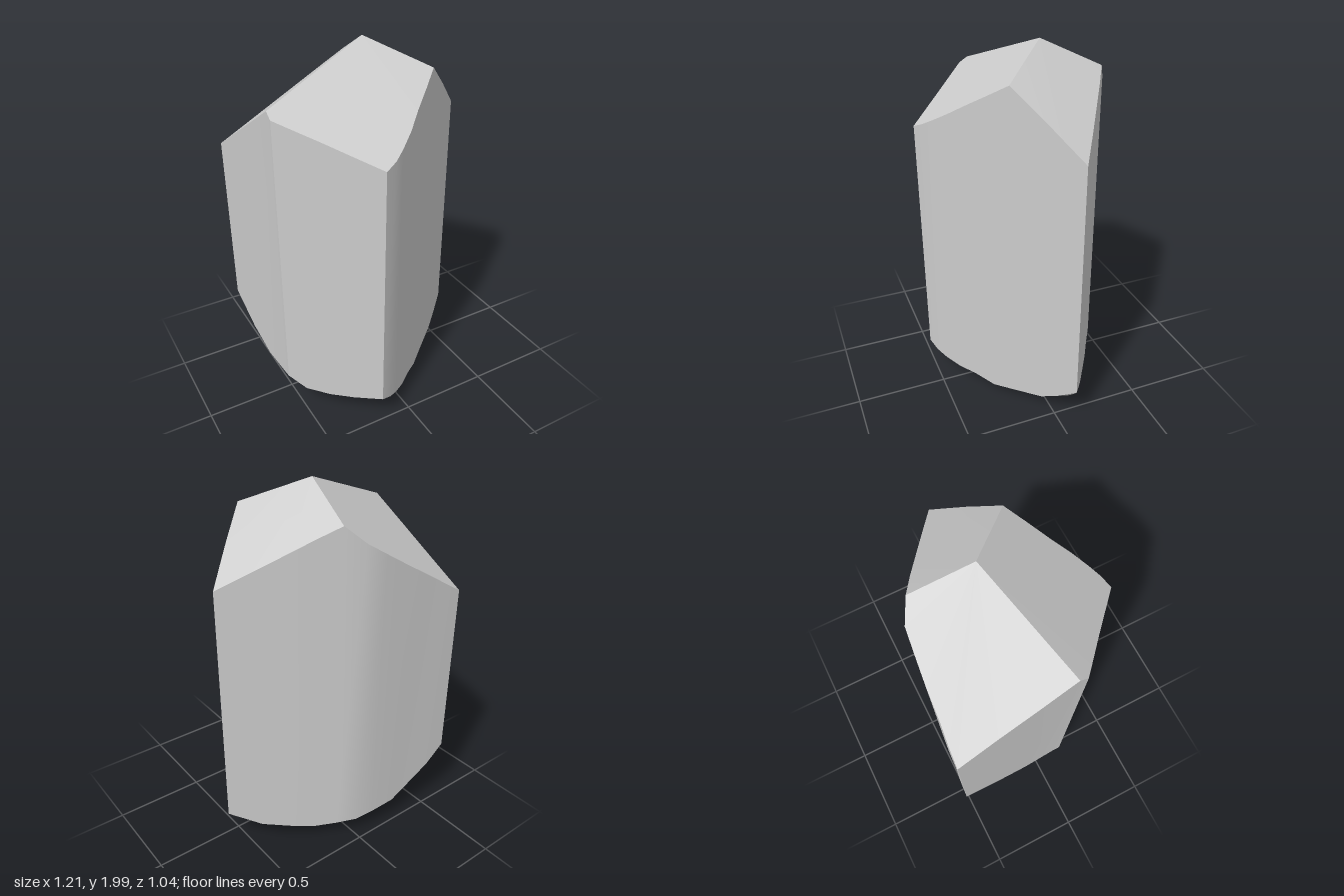
import * as THREE from 'three';
import { toCreasedNormals } from 'three/addons/utils/BufferGeometryUtils.js';

// Outline of the crystal: x, z, height of the lower rim
const OUTLINE = [
  [-0.605, -0.52, 0.41], [-0.5, -0.512, 0.31], [-0.4, -0.5, 0.24], [-0.25, -0.49, 0.15],
  [-0.12, -0.475, 0.13], [0, -0.46, 0.12], [0.095, -0.4, 0.1], [0.2, -0.338, 0.09],
  [0.3, -0.275, 0.1], [0.45, -0.18, 0.13], [0.605, -0.08, 0.22], [0.52, -0.01, 0.15],
  [0.44, 0.055, 0.1], [0.29, 0.175, 0.07], [0.2, 0.25, 0.055], [0.1, 0.33, 0.085],
  [0.02, 0.4, 0.1], [-0.06, 0.458, 0.125], [-0.12, 0.495, 0.15], [-0.185, 0.52, 0.18],
  [-0.3, 0.408, 0.155], [-0.4, 0.31, 0.145], [-0.5, 0.215, 0.16], [-0.573, 0.145, 0.23],
  [-0.572, 0.1, 0.22], [-0.583, -0.1, 0.22], [-0.592, -0.3, 0.28],
];
const N = OUTLINE.length;
const APEX = [0.032, 2, -0.085];

// Three facets meeting at the apex, as slopes along x and z
const FACETS = [[0.548, 0.589], [0.158, -0.677], [-0.78, 0.3]];
const topHeight = (x, z) =>
  Math.min(...FACETS.map(([a, b]) => 2 + a * (x - APEX[0]) + b * (z - APEX[2])));

const material = new THREE.MeshStandardMaterial({ color: 0xcccccc });

function makeMesh(name, triangles, crease) {
  const geometry = new THREE.BufferGeometry();
  geometry.setAttribute('position', new THREE.Float32BufferAttribute(triangles.flat(), 3));
  const mesh = new THREE.Mesh(toCreasedNormals(geometry, crease), material);
  mesh.name = name;
  return mesh;
}

// Point on the rounded underside; t is 1 at the rim and 0 at the middle
function basePoint(i, t) {
  const [ox, oz, rim] = OUTLINE[i % N];
  const bulge = Math.sin(t * Math.PI / 2) ** 0.8;
  const x = 0.05 + (ox - 0.05) * bulge;
  const z = 0.05 + (oz - 0.05) * bulge;
  const bump = 0.01 * Math.sin(11 * x + 2) * Math.sin(13 * z) * (1 - t ** 4);
  const floor = 0.012 * (1 - t ** 4);
  return [x, Math.max(0, floor + rim * bulge ** 3.2 + bump * Math.min(1, 3 * t)), z];
}

export function createModel() {
  const group = new THREE.Group();
  group.name = 'crystal';
  const shaft = [], tip = [], base = [];
  const rings = 8;

  for (let i = 0; i < N; i++) {
    const [x0, z0, y0] = OUTLINE[i];
    const [x1, z1, y1] = OUTLINE[(i + 1) % N];
    const low0 = [x0, y0, z0], low1 = [x1, y1, z1];
    const high0 = [x0, topHeight(x0, z0), z0], high1 = [x1, topHeight(x1, z1), z1];

    // Upright walls and pointed tip
    shaft.push(low1, low0, high0, low1, high0, high1);
    tip.push(APEX, high1, high0);

    // Rounded underside in shrinking rings
    for (let r = 0; r < rings; r++) {
      const outer = 1 - r / rings, inner = 1 - (r + 1) / rings;
      const a = basePoint(i, outer), b = basePoint(i + 1, outer);
      const c = basePoint(i + 1, inner), d = basePoint(i, inner);
      base.push(a, b, c);
      if (r < rings - 1) base.push(a, c, d);
    }
  }

  group.add(makeMesh('shaft', shaft, 0.5));
  group.add(makeMesh('tip', tip, 0.3));
  group.add(makeMesh('base', base, 0.7));
  return group;
}
